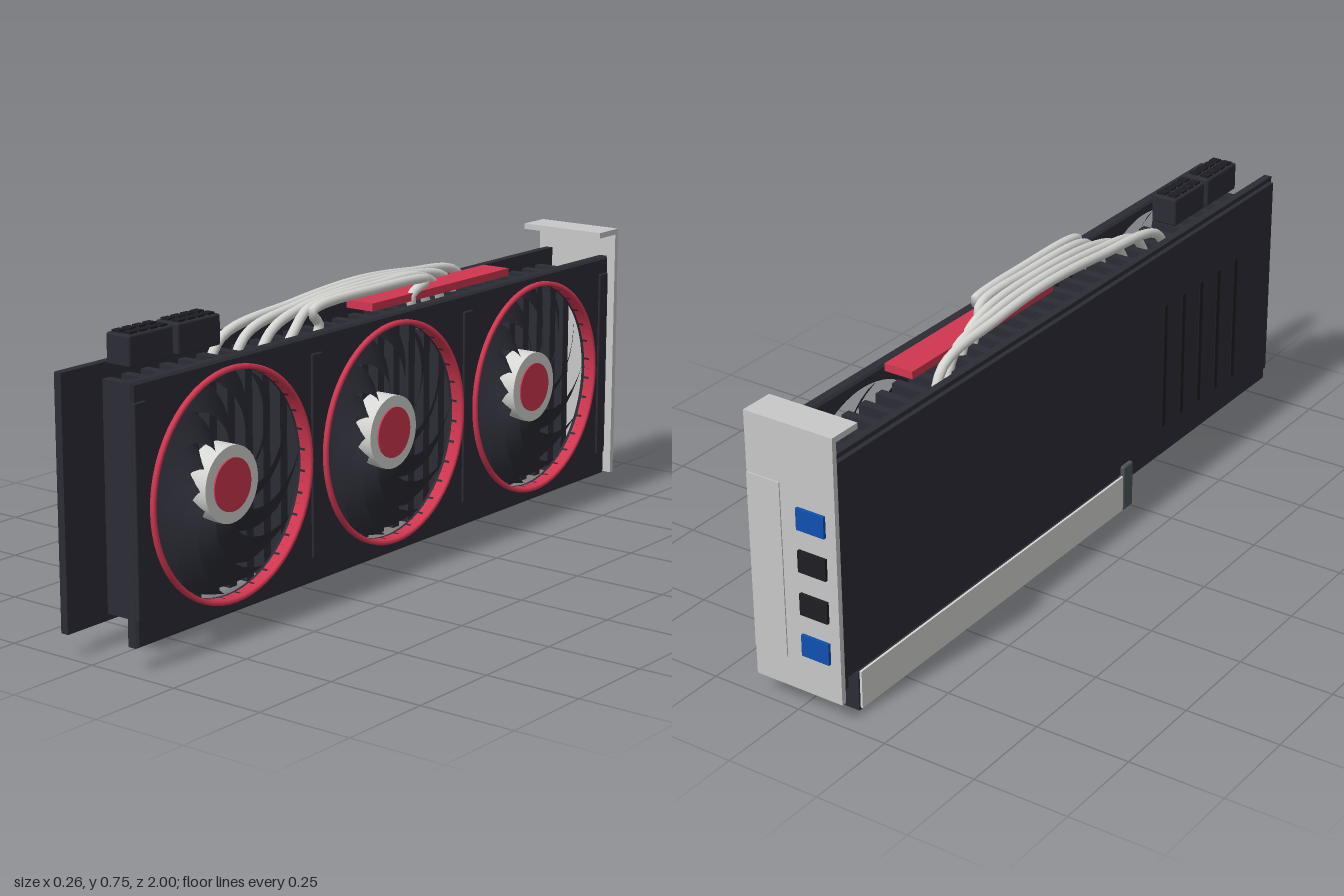
import * as THREE from 'three';
import { RoundedBoxGeometry } from 'three/addons/geometries/RoundedBoxGeometry.js';

const mat = (name, color, side = THREE.FrontSide) => {
  const m = new THREE.MeshStandardMaterial({ color, side });
  m.name = name;
  return m;
};

export function createModel() {
  const model = new THREE.Group();
  model.name = 'graphicsCard';
  const dark = mat('charcoal', 0x2c2c36);
  const blade = mat('bladeCharcoal', 0x2a2b34, THREE.DoubleSide);
  const red = mat('red', 0xd23650);
  const silver = mat('silver', 0xd6d6d3);
  const steel = mat('steel', 0xc8c8c8);
  const grey = mat('slateGrey', 0x4c5457);
  const blue = mat('blue', 0x1050b0);
  const black = mat('black', 0x1d1d23);

  const add = (name, geo, material, parent = model) => {
    const mesh = new THREE.Mesh(geo, material);
    mesh.name = name;
    parent.add(mesh);
    return mesh;
  };
  // box from its lower and upper limits on each axis, with optional rounded edges
  const box = (name, m, x0, x1, y0, y1, z0, z1, r = 0) => {
    const s = [x1 - x0, y1 - y0, z1 - z0];
    const mesh = add(name, r ? new RoundedBoxGeometry(...s, 2, r) : new THREE.BoxGeometry(...s), m);
    mesh.position.set((x0 + x1) / 2, (y0 + y1) / 2, (z0 + z1) / 2);
    return mesh;
  };

  const fanY = 0.37, fanZ = [0.64, 0.02, -0.6];

  // shroud plate with three fan openings
  const shape = new THREE.Shape();
  const z0 = -0.945, z1 = 0.97, yb = 0.063, yt = 0.669;
  shape.moveTo(-z1, yb);
  shape.lineTo(-z0, yb);
  shape.lineTo(-z0, yt);
  shape.lineTo(-z1, yt);
  shape.closePath();
  for (const z of fanZ) {
    const hole = new THREE.Path();
    hole.absarc(-z, fanY, 0.28, 0, Math.PI * 2, true);
    shape.holes.push(hole);
  }
  const plate = new THREE.ExtrudeGeometry(shape, {
    depth: 0.022, bevelEnabled: true, bevelSize: 0.006, bevelThickness: 0.006, bevelSegments: 1, curveSegments: 48,
  });
  plate.rotateY(Math.PI / 2).translate(0.093, 0, 0);
  add('shroud', plate, dark);
  for (const z of [0.955, 0.33, -0.29, -0.925]) {
    box('shroudRib', dark, 0.1, 0.126, 0.12, 0.63, z - 0.02, z + 0.02, 0.004);
  }

  // one swept, pitched fan blade built from radial sections
  const bladeGeometry = () => {
    const nr = 8, nc = 3, pos = [], idx = [];
    for (let i = 0; i <= nr; i++) {
      const t = i / nr, r = 0.085 + 0.182 * t;
      for (let j = 0; j <= nc; j++) {
        const c = j / nc - 0.5;
        const a = 0.95 * t ** 1.2 + c * (0.5 + 0.06 * t);
        pos.push(0.079 + c * 0.046, r * Math.sin(a), -r * Math.cos(a));
        if (i < nr && j < nc) {
          const k = i * (nc + 1) + j;
          idx.push(k, k + nc + 1, k + 1, k + 1, k + nc + 1, k + nc + 2);
        }
      }
    }
    const g = new THREE.BufferGeometry();
    g.setAttribute('position', new THREE.Float32BufferAttribute(pos, 3));
    g.setIndex(idx);
    g.computeVertexNormals();
    return g;
  };
  const bladeGeo = bladeGeometry();
  const disc = (r, x0, x1) => new THREE.CylinderGeometry(r, r, x1 - x0, 40)
    .rotateZ(-Math.PI / 2).translate((x0 + x1) / 2, 0, 0);

  // fans with hubs and rim rings
  const blades = 11;
  for (const z of fanZ) {
    const fan = new THREE.Group();
    fan.name = 'fan';
    fan.position.set(0, fanY, z);
    model.add(fan);
    add('hub', disc(0.094, 0.057, 0.118), silver, fan);
    add('hubCap', disc(0.065, 0.117, 0.122), red, fan);
    for (let i = 0; i < blades; i++) {
      add('fanBlade', bladeGeo, blade, fan).rotation.x = (i / blades) * Math.PI * 2;
    }
    const profile = [[0.274, 0.1], [0.286, 0.1], [0.286, 0.13], [0.274, 0.13], [0.274, 0.1]]
      .map(([r, x]) => new THREE.Vector2(r, x));
    const ring = new THREE.LatheGeometry(profile, 64).rotateZ(-Math.PI / 2);
    add('rimRing', ring, red, fan);
  }

  // heatsink fins and contact plate
  const fins = 28;
  for (let i = 0; i < fins; i++) {
    const z = -0.855 + (i * 1.735) / (fins - 1);
    box('heatsinkFin', dark, -0.048, 0.048, 0.086, 0.646, z - 0.013, z + 0.013);
  }
  box('contactPlate', silver, -0.058, -0.048, 0.28, 0.608, -0.53, -0.03);

  // heat pipes arching over the heatsink
  for (let i = 0; i < 5; i++) {
    const x = -0.044 + i * 0.026, za = -0.5 + i * 0.085, zb = 0.55 - i * 0.06;
    const mid = (za + zb) / 2;
    const curve = new THREE.CatmullRomCurve3([
      [x - 0.003, 0.6, za - 0.015], [x - 0.002, 0.685, za + 0.03], [x, 0.718, mid - 0.27],
      [x + 0.002, 0.729, mid - 0.06], [x + 0.004, 0.712, mid + 0.2],
      [x + 0.006, 0.675, zb - 0.06], [x + 0.006, 0.6, zb],
    ].map((p) => new THREE.Vector3(...p)));
    add('heatPipe', new THREE.TubeGeometry(curve, 48, 0.0125, 12), silver);
  }
  box('topAccent', red, -0.015, 0.066, 0.675, 0.695, -0.55, 0.04);

  // circuit board and backplate with raised vent slats
  box('circuitBoard', dark, -0.095, -0.074, 0.057, 0.675, -0.965, 1);
  box('backplate', dark, -0.115, -0.102, 0.105, 0.669, -0.965, 0.975);
  for (let i = 0; i < 5; i++) {
    const z = 0.42 + i * 0.09;
    box('ventSlat', black, -0.118, -0.114, 0.16, 0.515, z - 0.008, z + 0.008);
  }

  // power connectors with pin sockets
  for (const z of [0.795, 0.63]) {
    box('powerConnector', dark, -0.057, 0.016, 0.674, 0.75, z - 0.075, z + 0.075, 0.006);
    for (let i = 0; i < 4; i++) {
      for (const x of [-0.037, -0.004]) {
        const zc = z - 0.051 + i * 0.034;
        box('pinSocket', black, x - 0.012, x + 0.012, 0.748, 0.755, zc - 0.012, zc + 0.012);
      }
    }
  }

  // edge connector with its pale side covers and end stop
  box('edgeConnector', dark, -0.125, -0.042, 0.004, 0.105, -0.93, 0.2);
  box('edgeCover', silver, -0.131, -0.125, 0.01, 0.11, -0.925, 0.2);
  box('edgeCover', silver, -0.042, -0.036, 0.01, 0.11, -0.925, 0.2);
  box('edgeStop', grey, -0.126, -0.04, 0, 0.13, 0.212, 0.258, 0.006);

  // mounting bracket with ports
  box('bracket', steel, -0.125, 0.125, 0.052, 0.746, -0.992, -0.978);
  box('bracketFlange', steel, -0.125, 0.125, 0.731, 0.746, -0.992, -0.9);
  box('bracketPanel', steel, 0.03, 0.124, 0.13, 0.59, -0.995, -0.991);
  [[0.515, blue], [0.405, black], [0.292, black], [0.182, blue]].forEach(([y, m]) => {
    box('port', m, -0.097, -0.018, y - 0.028, y + 0.028, -1, -0.991);
  });
  return model;
}
